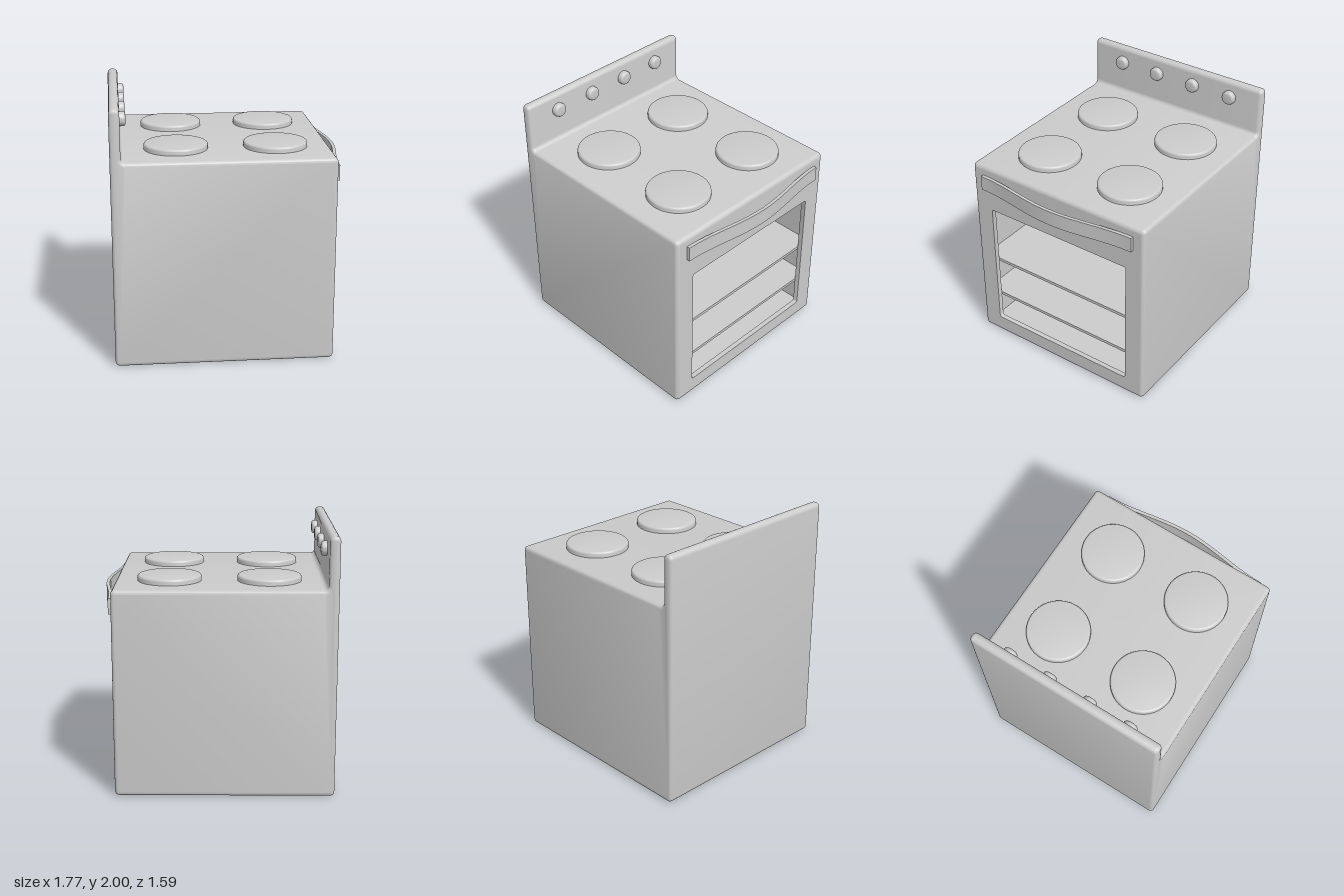
import * as THREE from 'three';
import { toCreasedNormals } from 'three/addons/utils/BufferGeometryUtils.js';

const material = new THREE.MeshStandardMaterial({ color: 0xcccccc });
const inside = new THREE.MeshStandardMaterial({ color: 0xcccccc, side: THREE.BackSide });

const FRONT = 0.785, BACK = -0.89, TOP = 1.6, HALF = 0.795;
const WALL = 0.04, BEVEL = 0.03, CORNER = 0.035;

// Closed outline whose corners are rounded by radius r
function roundedShape(points, r, Type = THREE.Shape, steps = 5) {
  const out = [];
  points.forEach(([x, y], i) => {
    const p = new THREE.Vector2(x, y);
    const before = new THREE.Vector2(...points[(i + points.length - 1) % points.length]);
    const after = new THREE.Vector2(...points[(i + 1) % points.length]);
    const u = before.sub(p).normalize(), v = after.sub(p).normalize();
    for (let k = 0; k <= steps; k++) {
      const a = (k / steps) * Math.PI / 2;
      out.push(p.clone().addScaledVector(u, r * (1 - Math.sin(a))).addScaledVector(v, r * (1 - Math.cos(a))));
    }
  });
  return new Type(out);
}

const rect = (w, y0, y1) => [[-w, y0], [w, y0], [w, y1], [-w, y1]];

// Remove every triangle lying on the plane x = value
function openAtX(geometry, value) {
  const src = geometry.index ? geometry.toNonIndexed() : geometry;
  const pos = src.attributes.position, nor = src.attributes.normal;
  const p = [], n = [];
  for (let i = 0; i < pos.count; i += 3) {
    if ([0, 1, 2].every(k => Math.abs(pos.getX(i + k) - value) < 1e-4)) continue;
    for (let k = 0; k < 3; k++) {
      p.push(pos.getX(i + k), pos.getY(i + k), pos.getZ(i + k));
      n.push(nor.getX(i + k), nor.getY(i + k), nor.getZ(i + k));
    }
  }
  const g = new THREE.BufferGeometry();
  g.setAttribute('position', new THREE.Float32BufferAttribute(p, 3));
  g.setAttribute('normal', new THREE.Float32BufferAttribute(n, 3));
  return g;
}

// Upright disc with a rounded top rim
function disc(radius, height, rim) {
  const pts = [new THREE.Vector2(0, 0), new THREE.Vector2(radius, 0)];
  for (let k = 0; k <= 4; k++) {
    const a = (k / 4) * Math.PI / 2;
    pts.push(new THREE.Vector2(radius - rim + rim * Math.cos(a), height - rim + rim * Math.sin(a)));
  }
  pts.push(new THREE.Vector2(0, height));
  return toCreasedNormals(new THREE.LatheGeometry(pts, 48), 0.5);
}

export function createModel() {
  const group = new THREE.Group();
  const add = (name, geometry, mat = material) => {
    const mesh = new THREE.Mesh(geometry, mat);
    mesh.name = name;
    group.add(mesh);
    return mesh;
  };

  // Cabinet and upright control panel as one rounded profile, open at the door
  const profile = roundedShape(
    [[BACK, 0], [FRONT, 0], [FRONT, TOP], [-0.81, TOP], [-0.81, 2], [BACK, 2]], CORNER);
  const cabinet = new THREE.ExtrudeGeometry(profile, {
    depth: 2 * (HALF - BEVEL), bevelEnabled: true, bevelThickness: BEVEL,
    bevelSize: BEVEL, bevelOffset: -BEVEL, bevelSegments: 5,
  });
  cabinet.translate(0, 0, -(HALF - BEVEL));
  add('cabinet', openAtX(toCreasedNormals(cabinet, 0.6), FRONT));

  // Door frame with its window opening
  const frame = new THREE.Shape(rect(HALF - BEVEL, CORNER, TOP - CORNER).map(p => new THREE.Vector2(...p)));
  frame.holes.push(roundedShape(rect(0.632, 0.145, 1.22), 0.015, THREE.Path, 3));
  const door = new THREE.ExtrudeGeometry(frame, { depth: WALL, bevelEnabled: false });
  door.rotateY(Math.PI / 2).translate(FRONT - WALL, 0, 0);
  add('doorFrame', toCreasedNormals(door, 0.6));

  // Oven interior, seen from within
  const x0 = BACK + WALL, x1 = FRONT - WALL, innerHalf = HALF - WALL;
  const cavity = new THREE.BoxGeometry(x1 - x0, TOP - 2 * WALL, 2 * innerHalf);
  cavity.translate((x0 + x1) / 2, TOP / 2, 0);
  add('ovenInterior', openAtX(cavity, x1), inside);

  // Shelves
  for (const y of [0.372, 0.717]) {
    add('shelf', new THREE.BoxGeometry(x1 - x0, 0.025, 2 * innerHalf)).position.set((x0 + x1) / 2, y, 0);
  }

  // Hotplates, reaching down into the oven
  for (const x of [-0.39, 0.37]) {
    for (const z of [-0.38, 0.37]) {
      add('hotplate', disc(0.244, 0.205, 0.018)).position.set(x, 1.44, z);
    }
  }

  // Control knobs
  for (const z of [-0.515, -0.172, 0.17, 0.512]) {
    const knob = add('knob', disc(0.055, 0.05, 0.02));
    knob.rotation.z = -Math.PI / 2;
    knob.position.set(-0.815, 1.868, z);
  }

  // Bowed handle bar
  const bow = [];
  for (let i = 0; i <= 32; i++) {
    const z = -0.697 + (1.394 * i) / 32;
    bow.push(new THREE.Vector2(0.786 + 0.0365 * (1 + Math.cos((Math.PI * z) / 0.697)), z));
  }
  const outer = bow.map(p => new THREE.Vector2(p.x + 0.026, p.y));
  const handle = new THREE.ExtrudeGeometry(new THREE.Shape([...outer, ...bow.reverse()]),
    { depth: 0.12, bevelEnabled: false });
  handle.rotateX(-Math.PI / 2).translate(0, 1.402, 0);
  add('handle', toCreasedNormals(handle, 0.6));

  return group;
}
